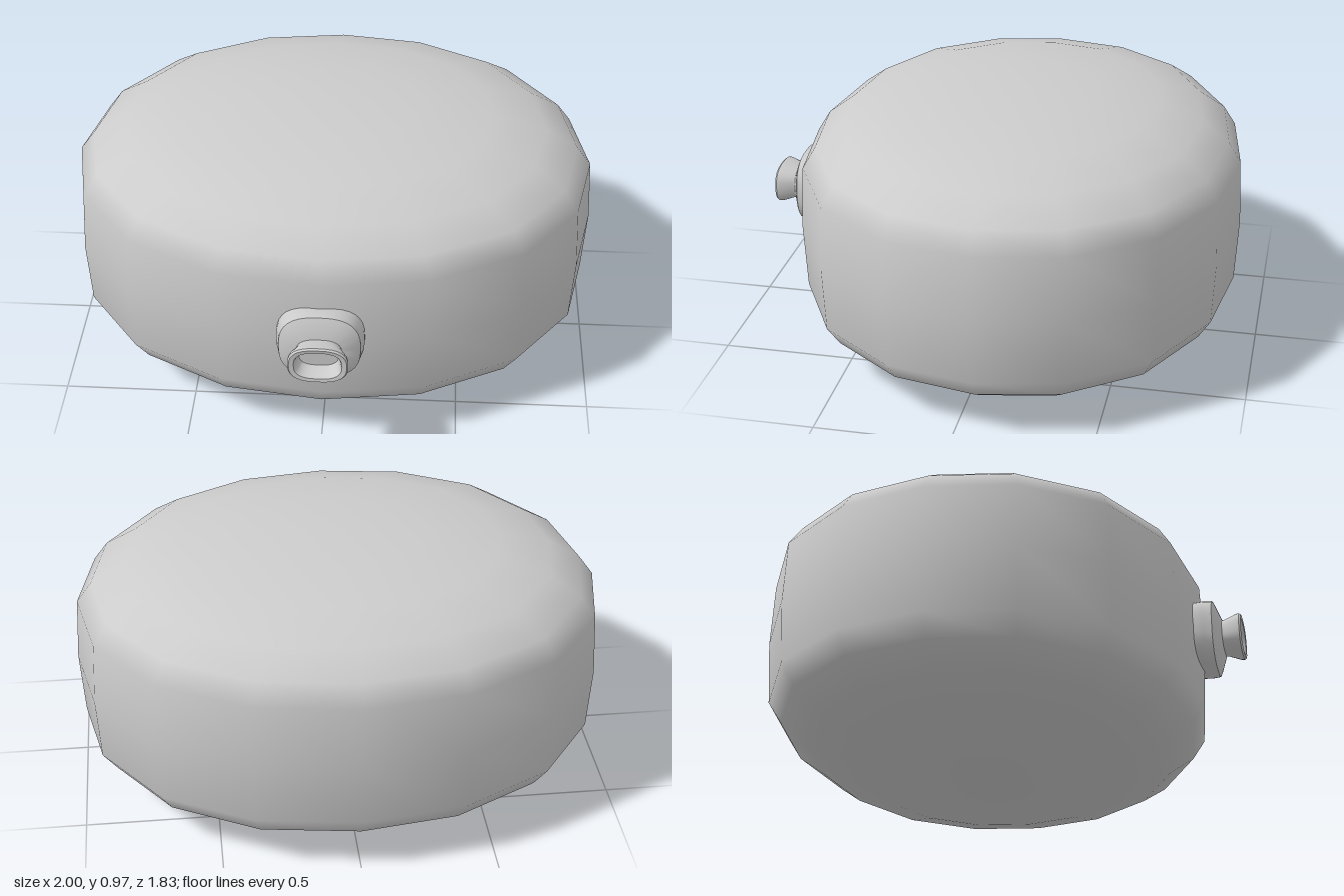
import * as THREE from 'three';
import { mergeVertices, toCreasedNormals } from 'three/addons/utils/BufferGeometryUtils.js';

const material = new THREE.MeshStandardMaterial({ color: 0xcccccc });

// Smooth 16-sided cushion: a lathed profile, squared off a little and narrowed in depth
function cushionGeometry() {
  const half = [[1, 0], [0.986, 0.243], [0.93, 0.32], [0.81, 0.395], [0.61, 0.448], [0.33, 0.478], [0, 0.486]];
  const profile = [
    ...half.slice(1).reverse().map(([r, y]) => new THREE.Vector2(r, -y)),
    ...half.map(([r, y]) => new THREE.Vector2(r, y)),
  ];
  let geo = new THREE.LatheGeometry(profile, 16);
  const p = geo.attributes.position;
  for (let i = 0; i < p.count; i++) {
    const x = p.getX(i), z = p.getZ(i);
    const k = 1 + 0.025 * Math.sin(2 * Math.atan2(z, x)) ** 2;
    p.setXYZ(i, x * k, p.getY(i), z * k * 0.838);
  }
  geo.deleteAttribute('uv');
  geo.deleteAttribute('normal');
  geo = mergeVertices(geo, 1e-4);
  geo.computeVertexNormals();
  return geo;
}

// Rounded-oblong rings [half width, half height, z] joined along z, closed at the last ring
function loftGeometry(rings, sides = 32) {
  const pos = [], index = [];
  const bend = (v) => Math.sign(v) * Math.abs(v) ** 0.75;
  for (const [w, h, z] of rings) {
    for (let i = 0; i < sides; i++) {
      const a = (i / sides) * Math.PI * 2;
      pos.push(w * bend(Math.cos(a)), h * bend(Math.sin(a)), z);
    }
  }
  for (let r = 0; r < rings.length - 1; r++) {
    for (let i = 0; i < sides; i++) {
      const j = (i + 1) % sides;
      const a = r * sides + i, b = r * sides + j;
      index.push(a, b, b + sides, a, b + sides, a + sides);
    }
  }
  const last = (rings.length - 1) * sides;
  for (let i = 1; i < sides - 1; i++) index.push(last, last + i, last + i + 1);
  const geo = new THREE.BufferGeometry();
  geo.setAttribute('position', new THREE.Float32BufferAttribute(pos, 3));
  geo.setIndex(index);
  return toCreasedNormals(geo, 0.6);
}

export function createModel() {
  const model = new THREE.Group();
  model.name = 'inflatedCushion';

  const body = new THREE.Mesh(cushionGeometry(), material);
  body.name = 'cushionBody';
  body.position.set(0, 0.49, -0.075);
  model.add(body);

  const valve = new THREE.Group();
  valve.name = 'valve';
  valve.position.y = 0.505;

  // Flange against the body, sloping in to the neck
  const flange = new THREE.Mesh(loftGeometry([
    [0.158, 0.132, 0.7], [0.158, 0.132, 0.76], [0.153, 0.136, 0.775], [0.146, 0.134, 0.808], [0.138, 0.122, 0.814],
    [0.082, 0.062, 0.838],
  ]), material);
  flange.name = 'valveFlange';

  // Flared mouthpiece with a hollow
  const mouth = new THREE.Mesh(loftGeometry([
    [0.08, 0.058, 0.83], [0.085, 0.061, 0.85], [0.106, 0.075, 0.893], [0.107, 0.076, 0.905], [0.102, 0.071, 0.912],
    [0.085, 0.058, 0.91], [0.08, 0.053, 0.9], [0.07, 0.045, 0.85],
  ]), material);
  mouth.name = 'valveMouth';

  valve.add(flange, mouth);
  model.add(valve);
  return model;
}
